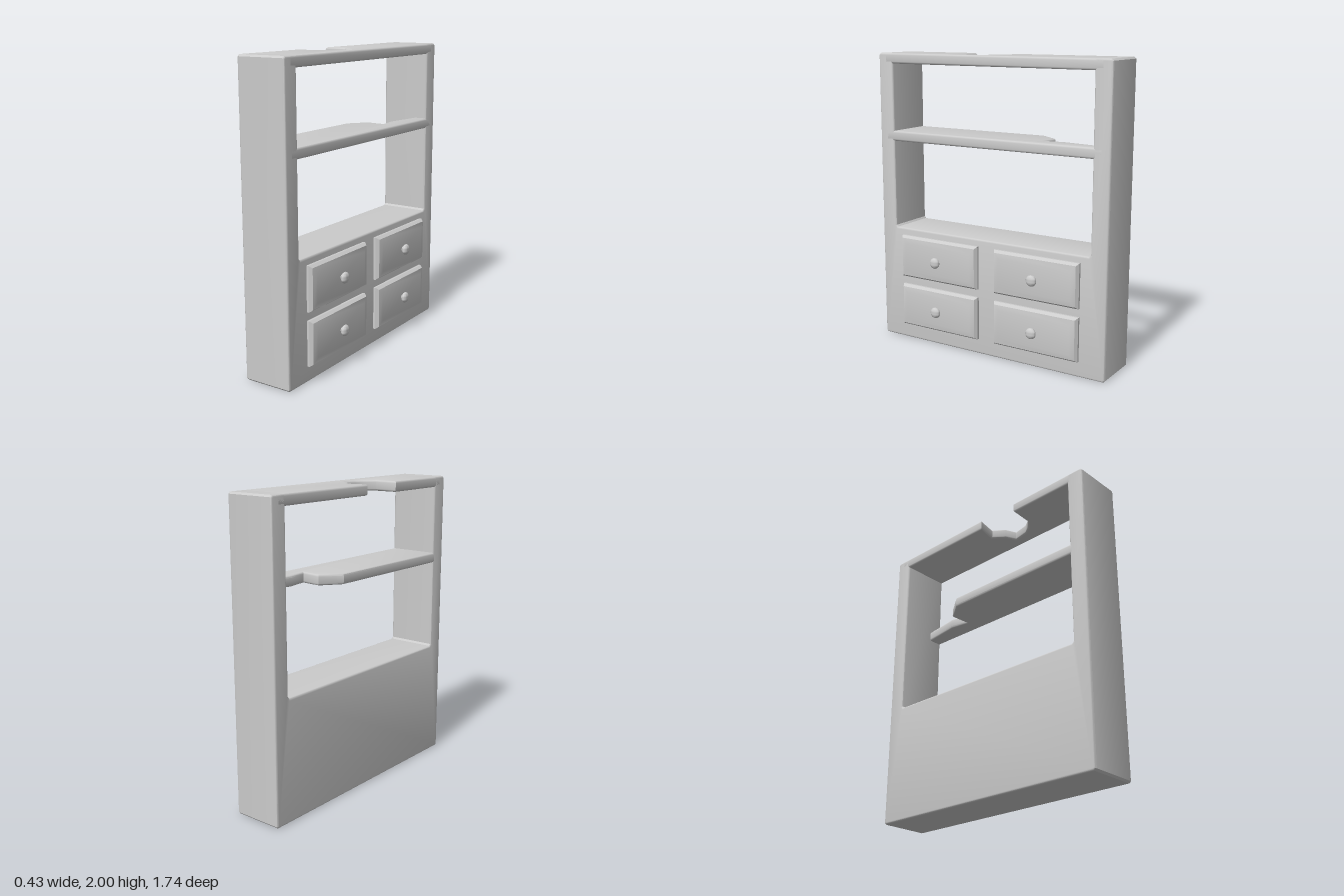
import * as THREE from 'three';
import { toCreasedNormals } from 'three/addons/utils/BufferGeometryUtils.js';

const material = new THREE.MeshStandardMaterial({ color: 0xcccccc });
const BACK = -0.215, FRONT = 0.125, HALF = 0.872, INNER = 0.755, EDGE = 0.014;

function makeMesh(name, geometry, crease = 0.6) {
  const mesh = new THREE.Mesh(toCreasedNormals(geometry, crease), material);
  mesh.name = name;
  return mesh;
}

function polygon(points) {
  return new THREE.Shape(points.map(([x, y]) => new THREE.Vector2(x, y)));
}

// Solid of the given outline and height, with its rims softly rounded
function roundedSlab(shape, height) {
  return new THREE.ExtrudeGeometry(shape, {
    depth: height - 2 * EDGE, bevelEnabled: true, bevelThickness: EDGE,
    bevelSize: EDGE, bevelOffset: -EDGE, bevelSegments: 3, curveSegments: 4,
  }).translate(0, 0, EDGE);
}

// Horizontal board from an outline of [x, z] corners
function board(name, outline, bottom, top) {
  const shape = polygon(outline.map(([x, z]) => [x, -z]));
  const geometry = roundedSlab(shape, top - bottom);
  geometry.rotateX(-Math.PI / 2).translate(0, bottom, 0);
  return makeMesh(name, geometry);
}

// Raised drawer front with a bevelled rim, and its knob
function drawer(name, y, z) {
  const group = new THREE.Group();
  group.name = name;
  const w = 0.312, h = 0.148;
  const panel = new THREE.ExtrudeGeometry(polygon([[-w, -h], [w, -h], [w, h], [-w, h]]), {
    depth: 0.05, bevelEnabled: true, bevelThickness: 0.03, bevelSize: 0.05,
    bevelOffset: -0.05, bevelSegments: 2,
  });
  panel.rotateY(Math.PI / 2).translate(0.09, 0, 0);
  group.add(makeMesh('drawerFront', panel, 0.5));

  const stem = new THREE.CylinderGeometry(0.014, 0.018, 0.04, 16);
  stem.rotateZ(-Math.PI / 2).translate(0.18, 0, 0);
  group.add(makeMesh('knobStem', stem));

  const knob = new THREE.SphereGeometry(0.037, 24, 16);
  knob.scale(0.57, 1, 1).translate(0.194, 0, 0);
  group.add(makeMesh('knob', knob, 1));
  group.position.set(0, y, z);
  return group;
}

export function createModel() {
  const model = new THREE.Group();
  model.name = 'brokenCabinet';

  // Lower chest and the two side posts as one U-shaped body
  const c = 0.012;
  const body = roundedSlab(polygon([
    [-HALF + c, 0], [HALF - c, 0], [HALF, c], [HALF, 2 - c], [HALF - c, 2], [INNER, 2],
    [INNER, 0.8 + c], [INNER - c, 0.8], [-INNER + c, 0.8], [-INNER, 0.8 + c],
    [-INNER, 2], [-HALF + c, 2], [-HALF, 2 - c], [-HALF, c],
  ]), FRONT - BACK);
  body.rotateY(Math.PI / 2).translate(BACK, 0, 0);
  model.add(makeMesh('cabinetBody', body));

  // Top board with a piece broken out of its back edge
  const end = 0.81;
  model.add(board('brokenTop', [
    [FRONT, end], [FRONT, -end], [BACK, -end],
    [BACK, -0.005], [-0.08, -0.03], [-0.025, 0.045], [0.05, 0.08],
    [0.03, 0.185], [0, 0.23], [-0.06, 0.285], [BACK, 0.293],
    [BACK, end],
  ], 1.93, 2));

  // Shelf with its back right corner broken away
  model.add(board('brokenShelf', [
    [FRONT, end], [FRONT, -end], [0.025, -end],
    [0.025, -0.75], [-0.012, -0.49], [0.01, -0.36],
    [-0.12, -0.37], [BACK, -0.24], [BACK, end],
  ], 1.405, 1.475));

  // Two rows of two drawers
  for (const [row, y] of [['lower', 0.253], ['upper', 0.605]]) {
    for (const [side, z] of [['Left', 0.377], ['Right', -0.377]]) {
      model.add(drawer(`${row}${side}Drawer`, y, z));
    }
  }
  return model;
}
